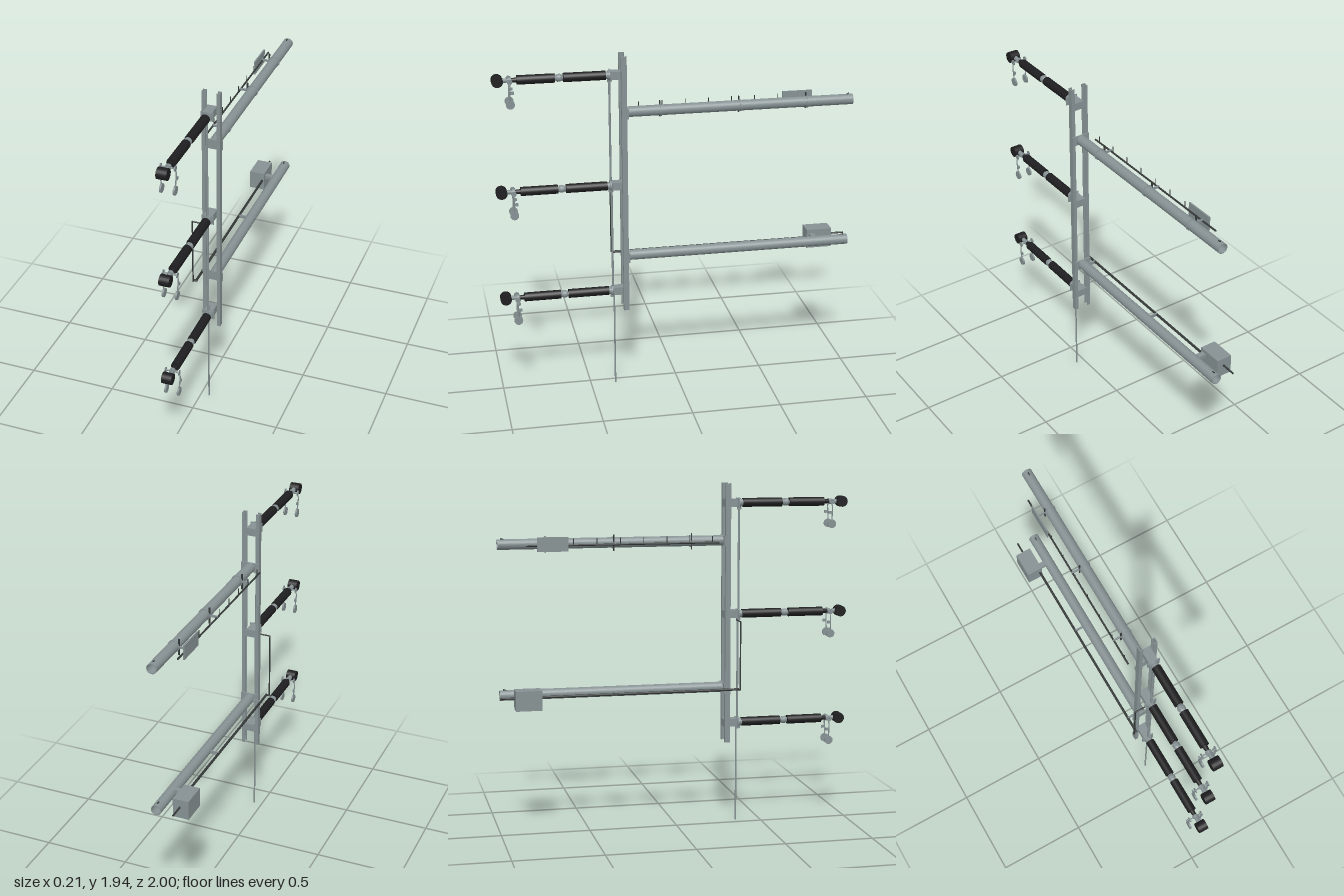
import * as THREE from 'three';

const CX = 0.047; // centre line of the frame and arms

export function createModel() {
  const root = new THREE.Group();
  root.name = 'poleSwitchFrame';
  const mat = (name, color, side = THREE.FrontSide) => {
    const m = new THREE.MeshStandardMaterial({ color, side });
    m.name = name;
    return m;
  };
  const steel = mat('galvanisedSteel', 0x869193, THREE.DoubleSide);
  const black = mat('blackInsulator', 0x1e1e20);
  const dark = mat('darkSteel', 0x343837);

  const add = (parent, name, geo, material, x = 0, y = 0, z = 0) => {
    const m = new THREE.Mesh(geo, material);
    m.name = name;
    m.position.set(x, y, z);
    parent.add(m);
    return m;
  };
  const box = (p, name, m, w, h, d, x, y, z) =>
    add(p, name, new THREE.BoxGeometry(w, h, d), m, x, y, z);
  // Round bar between two points
  const bar = (p, name, m, a, b, r, r2 = r, seg = 16) => {
    const A = new THREE.Vector3(...a), B = new THREE.Vector3(...b);
    const dir = B.clone().sub(A), len = dir.length();
    const mesh = add(p, name, new THREE.CylinderGeometry(r2, r, len, seg), m);
    mesh.position.copy(A).add(B).multiplyScalar(0.5);
    mesh.quaternion.setFromUnitVectors(new THREE.Vector3(0, 1, 0), dir.normalize());
    return mesh;
  };

  // Twin upright channels, open towards each other
  const channel = new THREE.Shape();
  [[0, -0.015], [0.02, -0.015], [0.02, -0.011], [0.004, -0.011],
    [0.004, 0.011], [0.02, 0.011], [0.02, 0.015], [0, 0.015]]
    .forEach(([x, y], i) => (i ? channel.lineTo(x, y) : channel.moveTo(x, y)));
  for (const side of [1, -1]) {
    const geo = new THREE.ExtrudeGeometry(channel, { depth: 1.47, bevelEnabled: false });
    const rail = add(root, side > 0 ? 'rightUpright' : 'leftUpright', geo, steel);
    rail.rotation.set(-Math.PI / 2, 0, side > 0 ? 0 : Math.PI);
    rail.position.set(CX - side * 0.051, 0.47, 0.297);
  }

  // Hollow support arms running to the back
  const ring = new THREE.Shape().absarc(0, 0, 0.029, 0, Math.PI * 2, false);
  ring.holes.push(new THREE.Path().absarc(0, 0, 0.025, 0, Math.PI * 2, true));
  for (const y of [0.785, 1.62]) {
    const geo = new THREE.ExtrudeGeometry(ring, { depth: 1.27, bevelEnabled: false, curveSegments: 20 });
    add(root, 'supportArm', geo, steel, CX, y, -0.99);
    box(root, 'armMountPlate', steel, 0.106, 0.055, 0.008, CX, y, 0.278);
    bar(root, 'armEndPin', dark, [CX, y + 0.025, -0.95], [CX, y + 0.033, -0.97], 0.004);
  }

  // Insulator branch: local origin on the centre line
  const branch = new THREE.Group();
  const zBar = (name, m, z0, z1, r, r2 = r) => bar(branch, name, m, [0, 0, z0], [0, 0, z1], r, r2, 24);
  box(branch, 'bracketBackPlate', steel, 0.098, 0.044, 0.005, 0, 0, 0.284);
  box(branch, 'bracket', steel, 0.05, 0.044, 0.08, 0, 0, 0.325);
  box(branch, 'bracketFrontPlate', steel, 0.07, 0.05, 0.006, 0, 0, 0.364);
  box(branch, 'rodGuide', steel, 0.016, 0.02, 0.022, 0, -0.028, 0.37);
  zBar('baseFlange', steel, 0.365, 0.376, 0.028);
  zBar('baseCollar', steel, 0.376, 0.392, 0.02);
  zBar('innerInsulator', black, 0.39, 0.618, 0.025);
  zBar('jointCollar', steel, 0.618, 0.632, 0.012, 0.02);
  zBar('jointBand', steel, 0.632, 0.65, 0.021);
  zBar('jointCollar', steel, 0.65, 0.664, 0.02, 0.012);
  zBar('outerInsulator', black, 0.662, 0.865, 0.025);
  zBar('insulatorNeck', black, 0.865, 0.9, 0.014, 0.01);
  zBar('endCollar', steel, 0.895, 0.912, 0.016);
  zBar('endFitting', steel, 0.912, 0.945, 0.01, 0.014);
  bar(branch, 'endDrum', black, [-0.028, 0, 0.969], [0.028, 0, 0.969], 0.031, 0.031, 28);
  bar(branch, 'crossPin', steel, [-0.038, 0, 0.905], [0.038, 0, 0.905], 0.004);
  for (const s of [-1, 1]) {
    const path = new THREE.CatmullRomCurve3([
      [s * 0.03, 0, 0.905], [s * 0.042, -0.02, 0.904], [s * 0.041, -0.06, 0.905], [s * 0.036, -0.11, 0.905],
    ].map((p) => new THREE.Vector3(...p)));
    add(branch, 'pendantStem', new THREE.TubeGeometry(path, 12, 0.0035, 8), steel);
    bar(branch, 'pendantDisc', steel, [s * 0.031, -0.125, 0.905], [s * 0.041, -0.125, 0.905], 0.024, 0.024, 24);
    box(branch, 'pendantLug', steel, 0.008, 0.016, 0.018, s * 0.041, -0.06, 0.893);
    bar(branch, 'pinHead', steel, [s * 0.036, 0, 0.905], [s * 0.041, 0, 0.905], 0.015);
  }
  [0.578, 1.203, 1.83].forEach((y, i) => {
    const b = branch.clone();
    b.name = ['lowerInsulator', 'middleInsulator', 'upperInsulator'][i];
    b.position.set(CX, y, 0);
    root.add(b);
  });

  // Vertical drive rod
  bar(root, 'groundRod', steel, [CX, 0, 0.36], [CX, 0.56, 0.36], 0.0045);
  bar(root, 'lowerDriveRod', steel, [CX, 0.56, 0.366], [CX, 1.18, 0.366], 0.006);
  bar(root, 'upperDriveRod', steel, [CX, 1.18, 0.37], [CX, 1.81, 0.37], 0.006);

  // Crank linkage and operating shaft
  bar(root, 'crankArm', dark, [-0.043, 1.167, 0.36], [CX, 1.167, 0.36], 0.004);
  bar(root, 'linkRod', dark, [-0.043, 0.775, 0.36], [-0.043, 1.17, 0.36], 0.004);
  bar(root, 'lowerCrank', dark, [-0.047, 0.78, 0.352], [-0.022, 0.78, 0.352], 0.006);
  bar(root, 'operatingShaft', dark, [-0.028, 0.78, 0.355], [-0.028, 0.78, -0.8], 0.007);
  for (const z of [0.26, -0.35]) {
    box(root, 'shaftBearing', steel, 0.05, 0.018, 0.008, -0.003, 0.78, z);
  }

  // Drive box with its cable
  box(root, 'driveBox', steel, 0.09, 0.11, 0.145, -0.06, 0.775, -0.845);
  box(root, 'driveBoxMount', steel, 0.05, 0.02, 0.03, 0.005, 0.8, -0.8);
  bar(root, 'driveCable', dark, [-0.055, 0.785, -0.91], [-0.055, 0.785, -1], 0.005);

  // Upper arm clamps, cable run and side plate
  for (const z of [0.09, -0.35, -0.73]) {
    bar(root, 'armClamp', steel, [CX, 1.62, z - 0.004], [CX, 1.62, z + 0.004], 0.033, 0.033, 24);
    box(root, 'clampBolt', dark, 0.008, 0.09, 0.006, 0.018, 1.62, z);
    box(root, 'clampTie', steel, 0.05, 0.012, 0.008, -0.004, 1.62, z);
  }
  bar(root, 'upperCable', dark, [-0.025, 1.615, 0.24], [-0.025, 1.615, -0.84], 0.005);
  for (let i = 0; i < 7; i++) {
    bar(root, 'cablePeg', dark, [-0.025, 1.61, 0.2 - i * 0.13], [-0.025, 1.652, 0.2 - i * 0.13], 0.0025, 0.0025, 8);
  }
  box(root, 'sidePlate', steel, 0.008, 0.08, 0.17, -0.031, 1.622, -0.695);
  return root;
}
